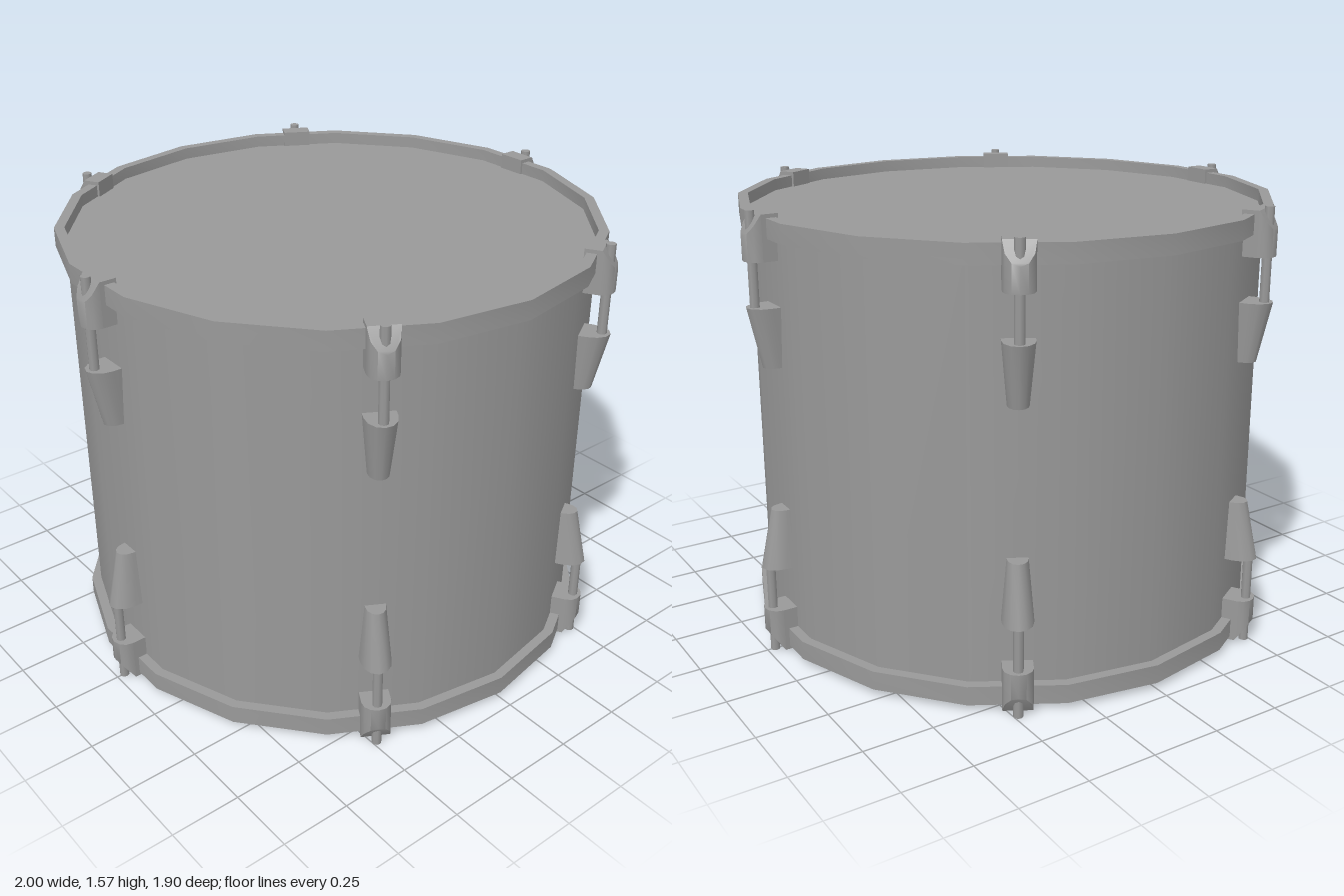
import * as THREE from 'three';
import { toCreasedNormals } from 'three/addons/utils/BufferGeometryUtils.js';

const SIDES = 18, SHELL_R = 0.915, HOOP_R = 0.95, MID = 0.785;
const grey = new THREE.MeshStandardMaterial({ color: 0x999999 });

function add(parent, name, geometry) {
  const mesh = new THREE.Mesh(geometry, grey);
  mesh.name = name;
  parent.add(mesh);
}

// Upright block with a D-shaped plan: flat towards the drum, rounded outwards (+z).
// rule(v, t) moves each vertex; t is 0 at the bottom and 1 at the top.
function dBlock(halfWidth, inner, straight, outer, y0, y1, rule) {
  const shape = new THREE.Shape();
  shape.moveTo(halfWidth, -inner);
  shape.lineTo(-halfWidth, -inner);
  for (let i = 0; i <= 6; i++) {
    const a = (i / 6) * Math.PI;
    shape.lineTo(-halfWidth * Math.cos(a), -straight - (outer - straight) * Math.sin(a));
  }
  const g = new THREE.ExtrudeGeometry(shape, { depth: y1 - y0, bevelEnabled: false });
  g.rotateX(-Math.PI / 2).translate(0, y0, 0);
  const p = g.attributes.position, v = new THREE.Vector3();
  for (let i = 0; i < p.count; i++) {
    v.fromBufferAttribute(p, i);
    rule(v, (v.y - y0) / (y1 - y0));
    p.setXYZ(i, v.x, v.y, v.z);
  }
  return toCreasedNormals(g, 0.75);
}

// Square-section ring around the drum edge
function hoopGeometry() {
  const profile = [[SHELL_R, 1.48], [HOOP_R, 1.48], [HOOP_R, 1.547], [SHELL_R, 1.547], [SHELL_R, 1.48]];
  return toCreasedNormals(
    new THREE.LatheGeometry(profile.map(([x, y]) => new THREE.Vector2(x, y)), SIDES), 0.6);
}

// Lug, tension rod and claw, standing at the +z side of the upper edge
function tensioner(geos) {
  const g = new THREE.Group();
  g.name = 'tensioner';
  add(g, 'lug', geos.lug);
  add(g, 'tensionRod', geos.rod);
  add(g, 'clawNose', geos.nose);
  add(g, 'clawHook', geos.hook);
  return g;
}

export function createModel() {
  const drum = new THREE.Group();
  drum.name = 'drum';

  const shell = new THREE.CylinderGeometry(SHELL_R, SHELL_R, 1.44, SIDES, 1, true);
  add(drum, 'shell', shell.translate(0, MID, 0));

  const geos = {
    hoop: hoopGeometry(),
    // Round plate whose corners line up with the shell
    head: new THREE.CircleGeometry(SHELL_R, SIDES, Math.PI / 2).rotateX(-Math.PI / 2).translate(0, 1.505, 0),
    // Narrows and leans in towards the lower end
    lug: dBlock(0.053, 0.87, 0.93, 1.0, 1.04, 1.25, (v, t) => {
      v.x *= 0.66 + 0.34 * t;
      v.z = 0.87 + (v.z - 0.87) * (0.65 + 0.35 * t);
    }),
    rod: new THREE.CylinderGeometry(0.017, 0.017, 0.35, 8).translate(0, 1.395, 0.97),
    // Top slopes down outwards
    nose: dBlock(0.051, 0.952, 0.954, 1.0, 1.405, 1.56, (v, t) => {
      if (t > 0.5) v.y -= (v.z - 0.952) * 1.5;
    }),
    hook: new THREE.BoxGeometry(0.102, 0.155, 0.059).translate(0, 1.4825, 0.9225),
  };

  // Same fittings at both ends; the lower end is the upper one turned over
  for (const end of ['top', 'bottom']) {
    const side = new THREE.Group();
    side.name = end + 'End';
    add(side, 'hoop', geos.hoop);
    add(side, 'head', geos.head);
    for (let i = 0; i < 6; i++) {
      const t = tensioner(geos);
      t.rotation.y = Math.PI / 6 + (i * Math.PI) / 3;
      side.add(t);
    }
    if (end === 'bottom') {
      side.rotation.z = Math.PI;
      side.position.y = 2 * MID;
    }
    drum.add(side);
  }
  return drum;
}
